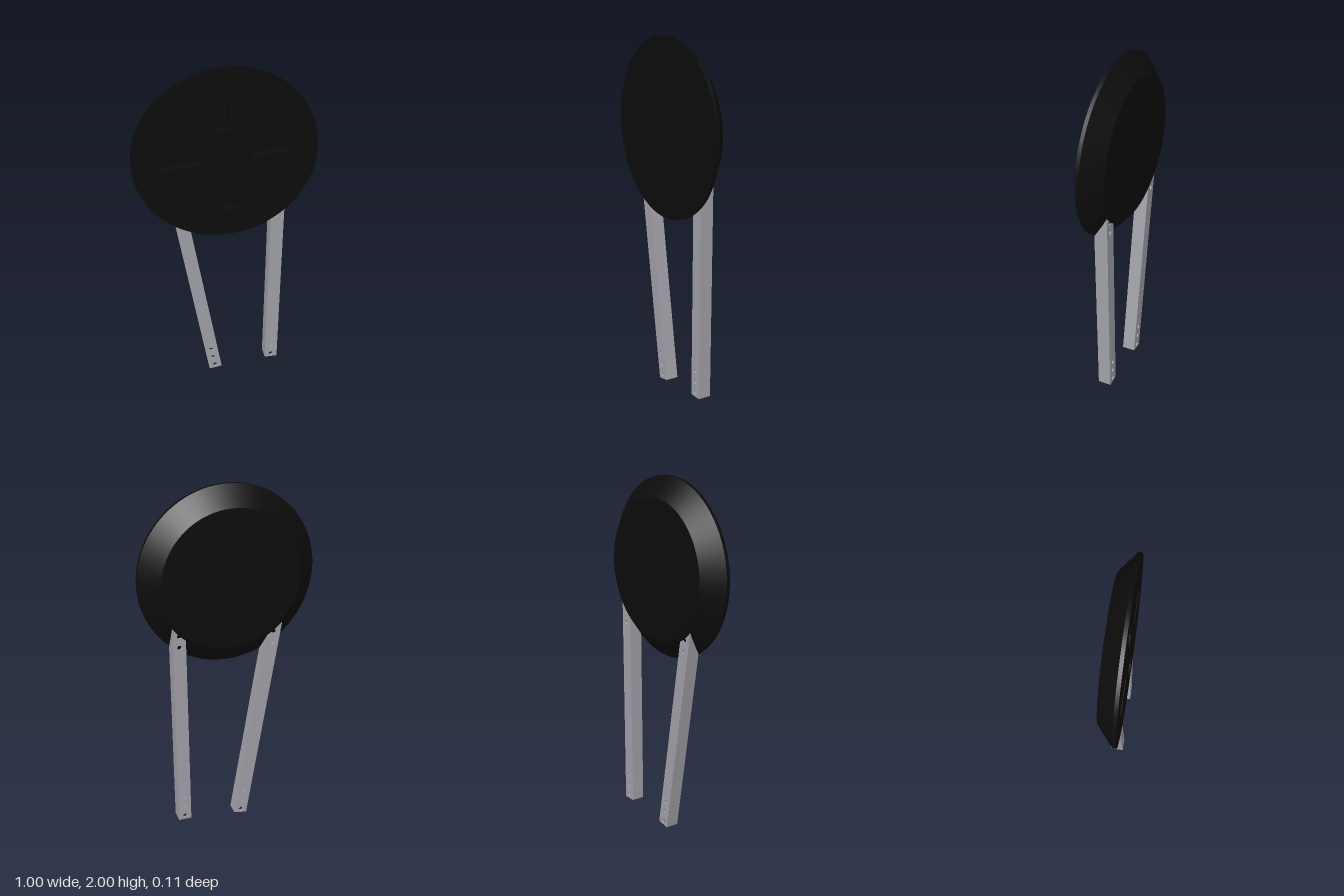
import * as THREE from 'three';

const black = new THREE.MeshStandardMaterial({ color: 0x0c0c0c });
black.name = 'black';
const steel = new THREE.MeshStandardMaterial({ color: 0xa0a0a8 });
steel.name = 'steel grey';

const RADIUS = 0.4975, CENTRE_Y = 1.5025, FRONT = 0.055, BACK = -0.055;
const SLOT = { length: 0.2, width: 0.07, depth: 0.05, offset: 0.243, twist: 0.08 };
const LEG = { size: 0.075, wall: 0.009, length: 1.265, holeRadius: 0.012 };

function add(parent, name, geometry, material) {
  const mesh = new THREE.Mesh(geometry, material);
  mesh.name = name;
  parent.add(mesh);
  return mesh;
}

// Round plate with a bevelled back and four recessed slots in its face
function createDisc() {
  const disc = new THREE.Group();
  disc.name = 'disc';
  disc.position.y = CENTRE_Y;

  // Separate bands keep the edges between them sharp
  const profile = [[0, BACK], [0.39, BACK], [RADIUS, 0.035], [RADIUS, FRONT]]
    .map(([r, z]) => new THREE.Vector2(r, z));
  ['discBack', 'discBevel', 'discRim'].forEach((name, i) => {
    const band = new THREE.LatheGeometry(profile.slice(i, i + 2), 128).rotateX(Math.PI / 2);
    add(disc, name, band, black);
  });

  const face = new THREE.Shape().absarc(0, 0, RADIUS, 0, Math.PI * 2);
  for (let i = 0; i < 4; i++) {
    const angle = SLOT.twist + i * Math.PI / 2;
    const inner = SLOT.offset - SLOT.length / 2, outer = SLOT.offset + SLOT.length / 2;
    const half = SLOT.width / 2;
    const corners = [[inner, -half], [inner, half], [outer, half], [outer, -half]]
      .map(([x, y]) => new THREE.Vector2(x, y).rotateAround(new THREE.Vector2(), angle));
    face.holes.push(new THREE.Path(corners));

    // Inward-facing box without its front
    const pocket = new THREE.BoxGeometry(SLOT.length, SLOT.width, SLOT.depth);
    pocket.scale(1, 1, -1);
    pocket.setIndex(Array.from(pocket.index.array).slice(0, 30));
    pocket.clearGroups();
    pocket.computeVertexNormals();
    pocket.translate(SLOT.offset, 0, FRONT - SLOT.depth / 2).rotateZ(angle);
    add(disc, 'slotPocket', pocket, black);
  }
  add(disc, 'discFace', new THREE.ShapeGeometry(face, 64).translate(0, 0, FRONT), black);
  return disc;
}

// Square hollow tube, drilled front to back near both ends; origin at the lower end
function createLeg(name, x, y, tilt) {
  const leg = new THREE.Group();
  leg.name = name;
  const { size, wall, length, holeRadius } = LEG, half = size / 2;

  const plate = new THREE.Shape([
    new THREE.Vector2(-half, 0), new THREE.Vector2(half, 0),
    new THREE.Vector2(half, length), new THREE.Vector2(-half, length),
  ]);
  for (const d of [0.025, 0.09, 0.155]) {
    for (const holeY of [d, length - d]) {
      plate.holes.push(new THREE.Path().absarc(0, holeY, holeRadius, 0, Math.PI * 2, true));
    }
  }
  const drilled = new THREE.ExtrudeGeometry(plate, { depth: wall, bevelEnabled: false, curveSegments: 16 });
  add(leg, 'frontWall', drilled, steel).position.z = half - wall;
  add(leg, 'backWall', drilled, steel).position.z = -half;

  const side = new THREE.BoxGeometry(wall, length, size - 2 * wall);
  for (const s of [-1, 1]) {
    add(leg, s < 0 ? 'rightWall' : 'leftWall', side, steel)
      .position.set(s * (half - wall / 2), length / 2, 0);
  }
  leg.position.set(x, y, 0);
  leg.rotation.z = tilt;
  return leg;
}

export function createModel() {
  const model = new THREE.Group();
  model.name = 'discOnLegs';
  model.add(
    createDisc(),
    createLeg('leftLeg', 0.287, 0.037, -0.008),
    createLeg('rightLeg', -0.057, 0.0062, 0.165),
  );
  return model;
}
